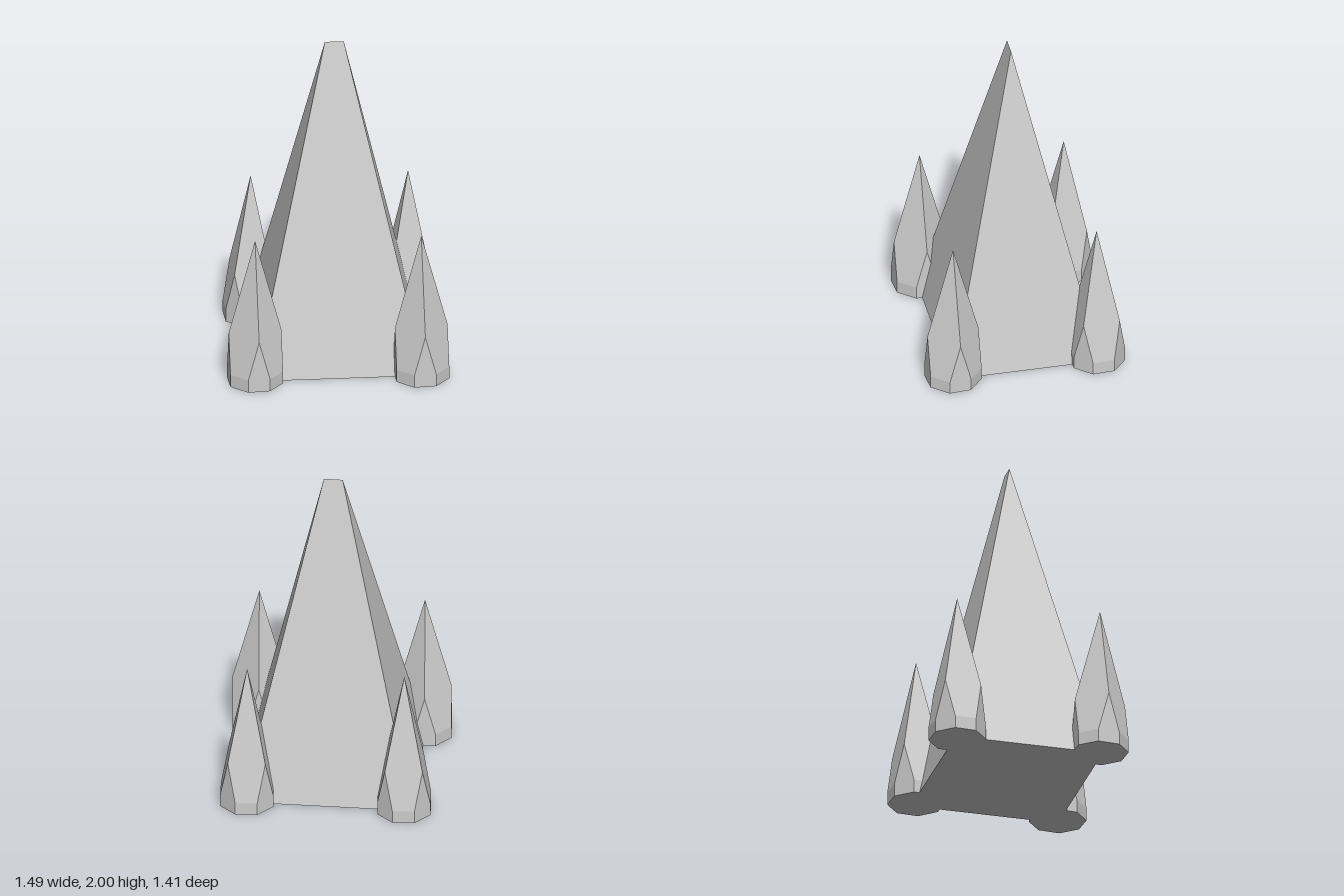
import * as THREE from 'three';

const deg = Math.PI / 180;

// Flat-faced geometry from convex polygons, corners counter-clockwise from outside
function fromPolygons(polygons) {
  const pos = [];
  for (const p of polygons) {
    for (let i = 1; i < p.length - 1; i++) pos.push(...p[0], ...p[i], ...p[i + 1]);
  }
  const geometry = new THREE.BufferGeometry();
  geometry.setAttribute('position', new THREE.Float32BufferAttribute(pos, 3));
  geometry.computeVertexNormals();
  return geometry;
}

// Tall hipped wedge: rectangular base rising to a short ridge
function wedgeGeometry(halfW, halfD, halfRidge, height) {
  const a = [halfW, 0, halfD], b = [-halfW, 0, halfD];
  const c = [-halfW, 0, -halfD], d = [halfW, 0, -halfD];
  const r = [halfRidge, height, 0], l = [-halfRidge, height, 0];
  return fromPolygons([
    [a, b, c, d],
    [b, a, r, l],
    [c, b, l],
    [d, c, l, r],
    [a, d, r],
  ]);
}

// Octagonal post sharpened to a point by four sloping cuts
function spireGeometry(radius, height, shoulder) {
  const apothem = radius * Math.cos(22.5 * deg);
  const cutY = height - (height - shoulder) * Math.SQRT2; // where the cuts meet the flats
  const at = (angle, r, y) => [r * Math.cos(angle * deg), y, r * Math.sin(angle * deg)];
  const low = (angle) => at(angle, radius, 0);
  const mid = (angle) => at(angle, radius, cutY);
  const corner = (angle) => at(angle, apothem, shoulder);
  const tip = [0, height, 0];
  const polygons = [];
  const base = [];
  for (let c = 0; c < 360; c += 90) {
    const a0 = c + 22.5, a1 = c + 67.5;
    polygons.push([low(a0), low(c - 22.5), mid(c - 22.5), corner(c), mid(a0)]); // pointed flat
    polygons.push([low(a1), low(a0), mid(a0), mid(a1)]);                        // short flat
    polygons.push([mid(a1), mid(a0), corner(c), tip, corner(c + 90)]);          // sloping cut
    base.push(low(a0), low(a1));
  }
  polygons.push(base);
  return fromPolygons(polygons);
}

export function createModel() {
  const model = new THREE.Group();
  model.name = 'spikeCluster';
  const stone = new THREE.MeshStandardMaterial({ color: 0xcccccc, flatShading: true });
  stone.name = 'stoneGrey';

  // Central spike
  const spike = new THREE.Mesh(wedgeGeometry(0.507, 0.45, 0.056, 2), stone);
  spike.name = 'centralSpike';
  spike.position.set(0.015, 0, -0.008);
  spike.rotation.y = -14.5 * deg;
  model.add(spike);

  // Corner spires: name, x, z, turn
  const spireShape = spireGeometry(0.17, 0.92, 0.325);
  const spires = [
    ['frontRightSpire', -0.58, 0.285, 10],
    ['frontLeftSpire', 0.37, 0.54, 10],
    ['backLeftSpire', 0.577, -0.305, -34],
    ['backRightSpire', -0.325, -0.54, -34],
  ];
  for (const [name, x, z, turn] of spires) {
    const spire = new THREE.Mesh(spireShape, stone);
    spire.name = name;
    spire.position.set(x, 0, z);
    spire.rotation.y = -turn * deg;
    model.add(spire);
  }
  return model;
}
